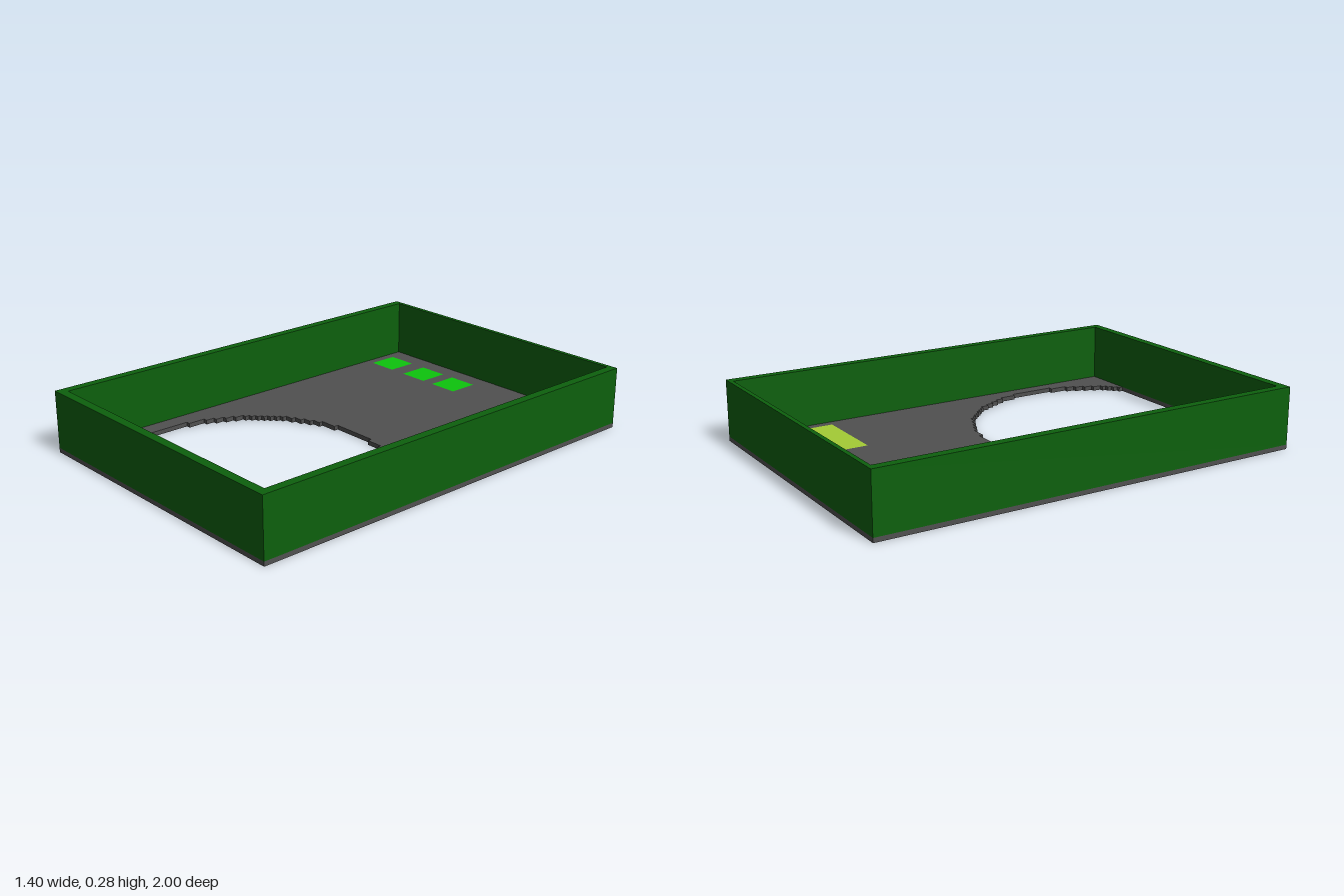
import * as THREE from 'three';

const CELL = 0.02; // grid step, also the floor thickness

const material = (name, color) => new THREE.MeshStandardMaterial({ name, color });

// Rectangle outline on the ground plane, as points (x, -z)
const rect = (x0, x1, z0, z1) => [[x0, z0], [x0, z1], [x1, z1], [x1, z0]]
  .map(([x, z]) => new THREE.Vector2(x, -z));

// Stepped circle, cut off by the front rim
function steppedCircle(cx, cz, radius, zEnd) {
  const left = [], right = [];
  const rows = Math.round((zEnd - (cz - radius)) / CELL);
  for (let i = 0; i < rows; i++) {
    const z = cz - radius + i * CELL;
    const d = z + CELL / 2 - cz;
    const half = Math.floor(Math.sqrt(radius * radius - d * d) / CELL + 1e-6) * CELL + CELL / 2;
    for (const edge of [z, z + CELL]) {
      left.push(new THREE.Vector2(cx - half, -edge));
      right.push(new THREE.Vector2(cx + half, -edge));
    }
  }
  // drop repeated points where neighbouring rows have equal width
  return [...left, ...right.reverse()].filter((p, i, a) => i === 0 || p.distanceTo(a[i - 1]) > 1e-5);
}

// Upright slab from an outline with holes
function slab(name, outline, holes, y, height, mat) {
  const shape = new THREE.Shape(outline);
  shape.holes = holes.map((points) => new THREE.Path(points));
  const geometry = new THREE.ExtrudeGeometry(shape, { depth: height, bevelEnabled: false });
  geometry.rotateX(-Math.PI / 2);
  const mesh = new THREE.Mesh(geometry, mat);
  mesh.name = name;
  mesh.position.y = y;
  return mesh;
}

export function createModel() {
  const wallGreen = material('darkGreen', 0x0d600d);
  const floorGrey = material('darkGrey', 0x505050);
  const buttonGreen = material('brightGreen', 0x0dc40d);
  const screenLime = material('lime', 0xa3cc35);

  const model = new THREE.Group();
  model.name = 'openCase';
  const outer = rect(-0.7, 0.7, -1, 1);

  // Inlays set flush into the floor
  const inlays = [
    ['screen', rect(0.26, 0.62, -0.9, -0.54), screenLime],
    ...[-0.62, -0.4, -0.2].map((x, i) => [`button${i + 1}`, rect(x, x + 0.14, -0.9, -0.76), buttonGreen]),
  ];
  for (const [name, outline, mat] of inlays) model.add(slab(name, outline, [], 0, CELL, mat));

  // Floor with the large round opening
  const opening = steppedCircle(0.01, 0.53, 0.59, 0.96);
  model.add(slab('floor', outer, [opening, ...inlays.map((inlay) => inlay[1])], 0, CELL, floorGrey));

  // Surrounding walls, thinner at the back
  model.add(slab('walls', outer, [rect(-0.66, 0.66, -0.98, 0.96)], CELL, 0.26, wallGreen));

  return model;
}
